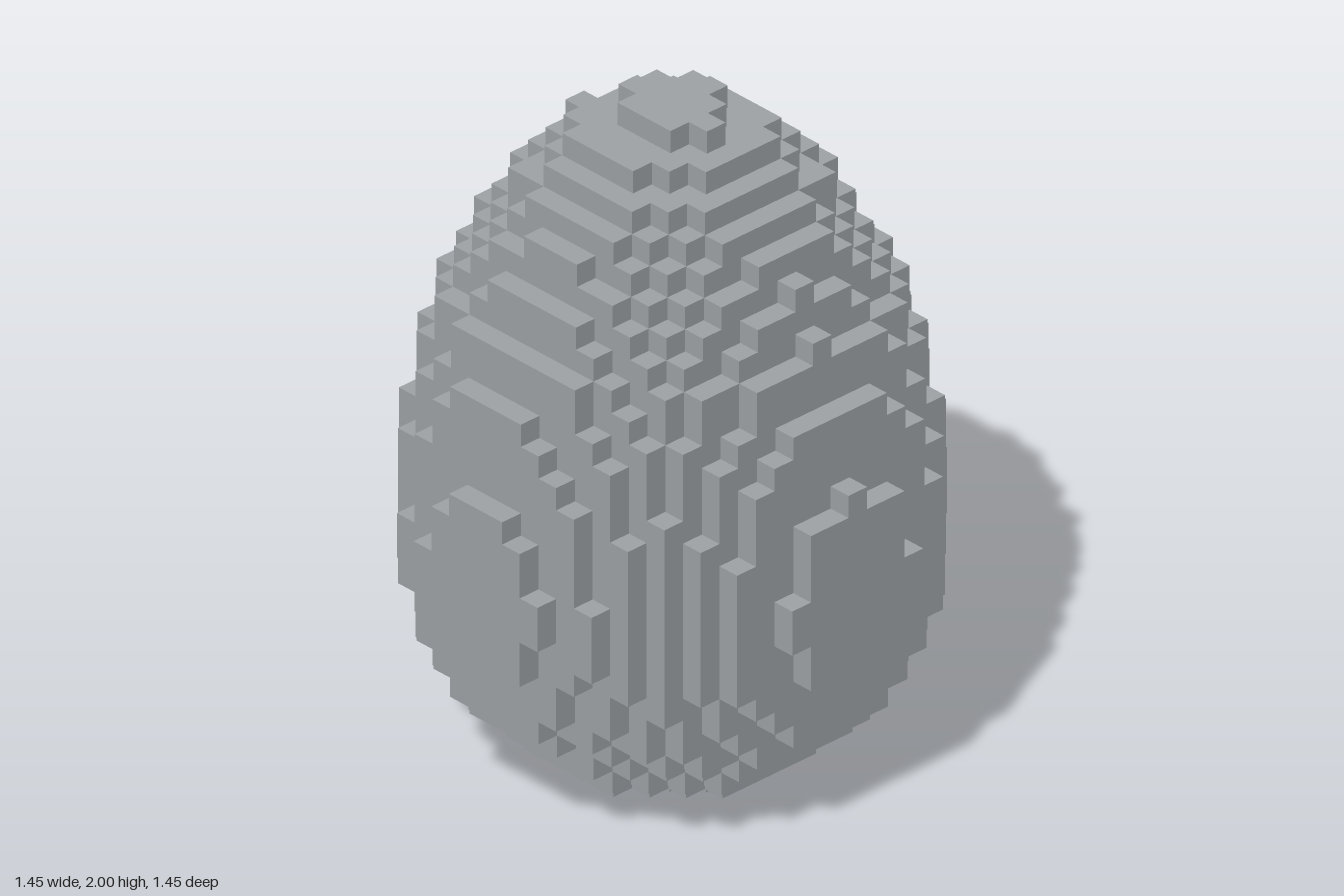
import * as THREE from 'three';
import { mergeGeometries } from 'three/addons/utils/BufferGeometryUtils.js';

const LAYERS = 29, HALF = 10, SIZE = 2 / LAYERS;

// squared radius, in cubes, of each layer from the bottom up
const RADII_SQ = [
  9.55, 31, 46, 60, 74, 88, 95, 98.9, 107.2, 108.5, 112.8, 112.8, 108, 107.2, 104.4,
  100.6, 98, 92.8, 88, 80.8, 76, 64.9, 58, 49.95, 41, 33, 24.5, 14, 4.45,
];

// a cube belongs to the egg when it lies in its layer's slightly leaning ellipse
function filled(x, y, z) {
  if (y < 0 || y >= LAYERS) return false;
  const lean = (14 - y) * 0.007;
  const dx = x - lean;
  const dz = (z - Math.min(0, lean)) / 0.985;
  return dx * dx + dz * dz <= RADII_SQ[y];
}

// one square per cube side: neighbour direction and the turn of the plane
const SIDES = [
  { dir: [0, 0, 1], turn: [0, 0] },
  { dir: [0, 0, -1], turn: [0, Math.PI] },
  { dir: [1, 0, 0], turn: [0, Math.PI / 2] },
  { dir: [-1, 0, 0], turn: [0, -Math.PI / 2] },
  { dir: [0, 1, 0], turn: [-Math.PI / 2, 0] },
  { dir: [0, -1, 0], turn: [Math.PI / 2, 0] },
].map(({ dir, turn }) => ({
  dir,
  square: new THREE.PlaneGeometry(SIZE, SIZE)
    .rotateX(turn[0])
    .rotateY(turn[1])
    .translate(...dir.map((d) => (d * SIZE) / 2)),
}));

function blockEggGeometry() {
  const faces = [];
  for (let y = 0; y < LAYERS; y++)
    for (let x = -HALF; x <= HALF; x++)
      for (let z = -HALF; z <= HALF; z++) {
        if (!filled(x, y, z)) continue;
        // only the sides open to the air
        for (const { dir, square } of SIDES) {
          if (filled(x + dir[0], y + dir[1], z + dir[2])) continue;
          faces.push(square.clone().translate(x * SIZE, (y + 0.5) * SIZE, z * SIZE));
        }
      }
  return mergeGeometries(faces);
}

export function createModel() {
  const group = new THREE.Group();
  group.name = 'blockEgg';
  const stone = new THREE.MeshStandardMaterial({ color: 0x9ea3a6 });
  stone.name = 'stone grey';
  const shell = new THREE.Mesh(blockEggGeometry(), stone);
  shell.name = 'shell';
  group.add(shell);
  return group;
}
